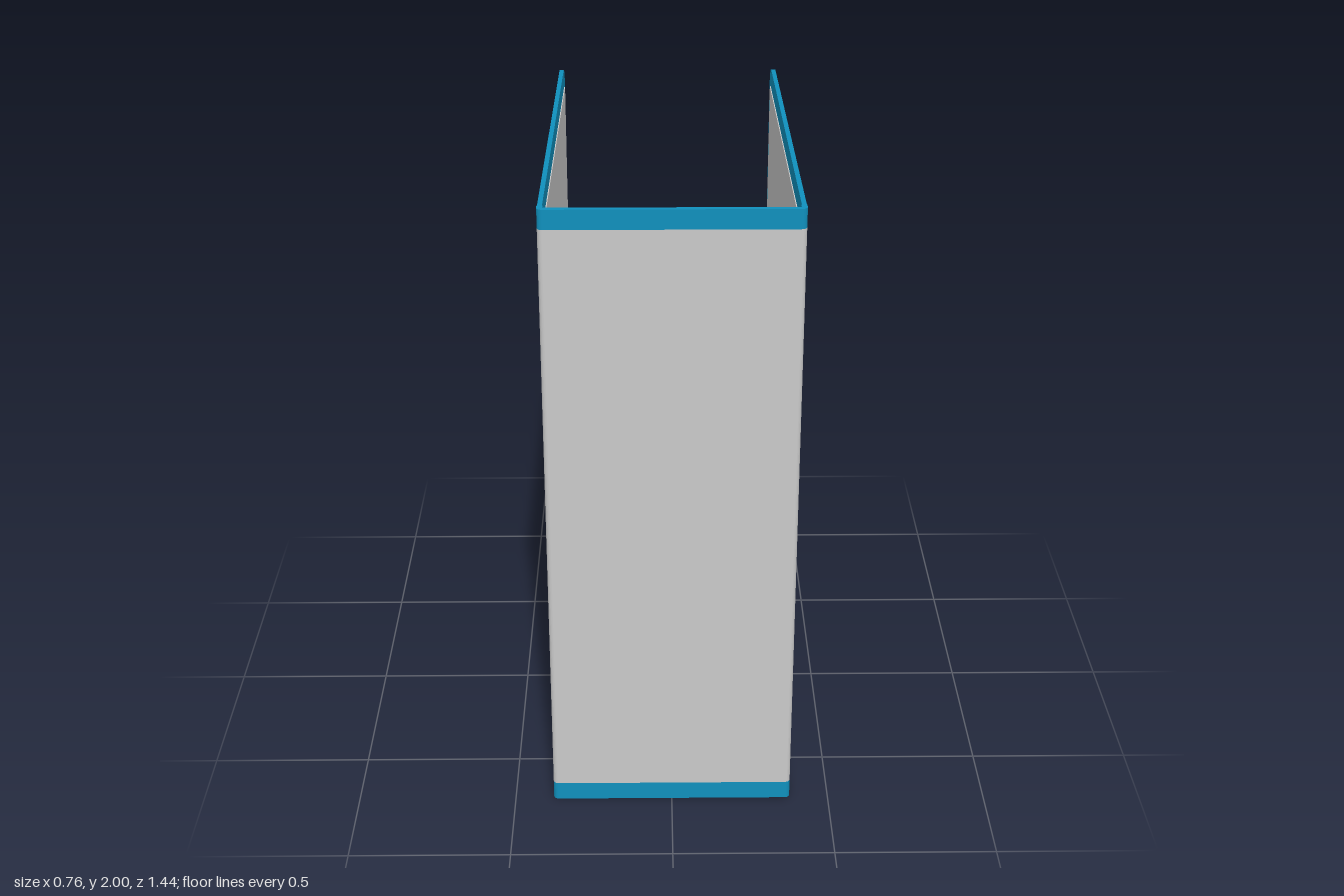
import * as THREE from 'three';

const blue = new THREE.MeshStandardMaterial({ color: 0x1090bd });
blue.name = 'blue cover';
const grey = new THREE.MeshStandardMaterial({ color: 0xcacaca });
grey.name = 'light grey paper';
const metal = new THREE.MeshStandardMaterial({ color: 0xbcbcbc, side: THREE.DoubleSide });
metal.name = 'metal';

function add(parent, name, geometry, material, x = 0, y = 0, z = 0) {
  const mesh = new THREE.Mesh(geometry, material);
  mesh.name = name;
  mesh.position.set(x, y, z);
  parent.add(mesh);
  return mesh;
}

// Plate with its two far corners rounded, extruded evenly about its middle
function plate(u0, u1, v0, v1, r, t) {
  const s = new THREE.Shape();
  s.moveTo(u0, v0);
  s.lineTo(u1 - r, v0);
  if (r) s.absarc(u1 - r, v0 + r, r, -Math.PI / 2, 0);
  s.lineTo(u1, v1 - r);
  if (r) s.absarc(u1 - r, v1 - r, r, 0, Math.PI / 2);
  s.lineTo(u0, v1);
  return new THREE.ExtrudeGeometry(s, { depth: t, bevelEnabled: false, curveSegments: 10 }).translate(0, 0, -t / 2);
}

// Channel-shaped spine section with rounded outer corners, extruded upwards
function spineSection(height) {
  const w = 0.378, front = 0.717, back = 0.68, r = 0.016, t = 0.017;
  const s = new THREE.Shape();
  s.moveTo(-w, -back);
  s.lineTo(-w, -front + r);
  s.absarc(-w + r, -front + r, r, Math.PI, Math.PI * 1.5);
  s.lineTo(w - r, -front);
  s.absarc(w - r, -front + r, r, -Math.PI / 2, 0);
  s.lineTo(w, -back);
  s.lineTo(w - t, -back);
  s.lineTo(w - t, -front + t);
  s.lineTo(-w + t, -front + t);
  s.lineTo(-w + t, -back);
  return new THREE.ExtrudeGeometry(s, { depth: height, bevelEnabled: false, curveSegments: 6 }).rotateX(-Math.PI / 2);
}

// Thin sheet following an (x, z) path, standing upright
function sheet(points, height) {
  const path = new THREE.Shape();
  const t = 0.003;
  const side = (d) => points.map(([x, z], i) => {
    const a = points[Math.max(i - 1, 0)], b = points[Math.min(i + 1, points.length - 1)];
    const n = new THREE.Vector2(-(b[1] - a[1]), b[0] - a[0]).normalize();
    return new THREE.Vector2(x + n.x * d, -(z + n.y * d));
  });
  path.setFromPoints([...side(t), ...side(-t).reverse()]);
  return new THREE.ExtrudeGeometry(path, { depth: height, bevelEnabled: false }).rotateX(-Math.PI / 2);
}

export function createModel() {
  const model = new THREE.Group();
  model.name = 'binder';

  // Spine: grey label between blue bands
  add(model, 'spineBottomBand', spineSection(0.06), blue);
  add(model, 'spineLabel', spineSection(1.88), grey, 0, 0.06);
  add(model, 'spineTopBand', spineSection(0.06), blue, 0, 1.94);

  // Covers, leaning slightly together, with inset lining sheets
  for (const side of [1, -1]) {
    const cover = new THREE.Group();
    cover.name = side > 0 ? 'leftCover' : 'rightCover';
    cover.position.set(side * 0.3695, 0, 0.68);
    cover.rotation.y = Math.PI / 2 + side * 0.008;
    model.add(cover);
    add(cover, 'coverBoard', plate(0, 1.4, 0, 2, 0.07, 0.014), blue);
    add(cover, 'coverLining', plate(0, 1.345, 0.06, 1.94, 0, 0.004), grey, 0, 0, -side * 0.008);
  }

  // Metal mechanism on the inside of the spine
  const mechanism = new THREE.Group();
  mechanism.name = 'mechanism';
  model.add(mechanism);
  add(mechanism, 'basePlate', new THREE.BoxGeometry(0.7, 0.5, 0.006), metal, 0, 1, 0.694);
  add(mechanism, 'raisedPlate', new THREE.BoxGeometry(0.46, 0.4, 0.008), metal, 0, 1, 0.687);
  const bar = add(mechanism, 'crossBar', new THREE.CylinderGeometry(0.016, 0.016, 0.65, 20), metal, 0, 1, 0.596);
  bar.rotation.z = Math.PI / 2;
  for (const side of [1, -1]) {
    const profile = [[0.345, 0.69], [0.29, 0.683], [0.315, 0.67], [0.316, 0.6], [0.315, 0.565]];
    for (let i = 0; i <= 8; i++) {
      const a = Math.PI - (i / 8) * Math.PI / 2;
      profile.push([0.35 + 0.035 * Math.cos(a), 0.56 - 0.035 * Math.sin(a)]);
    }
    profile.push([0.359, 0.527]);
    add(mechanism, 'springBracket', sheet(profile.map(([x, z]) => [side * x, z]), 0.5), metal, 0, 0.75);
    const cap = add(mechanism, 'barCap', new THREE.CylinderGeometry(0.023, 0.023, 0.01, 20), metal, side * 0.308, 1, 0.596);
    cap.rotation.z = Math.PI / 2;
  }
  return model;
}
